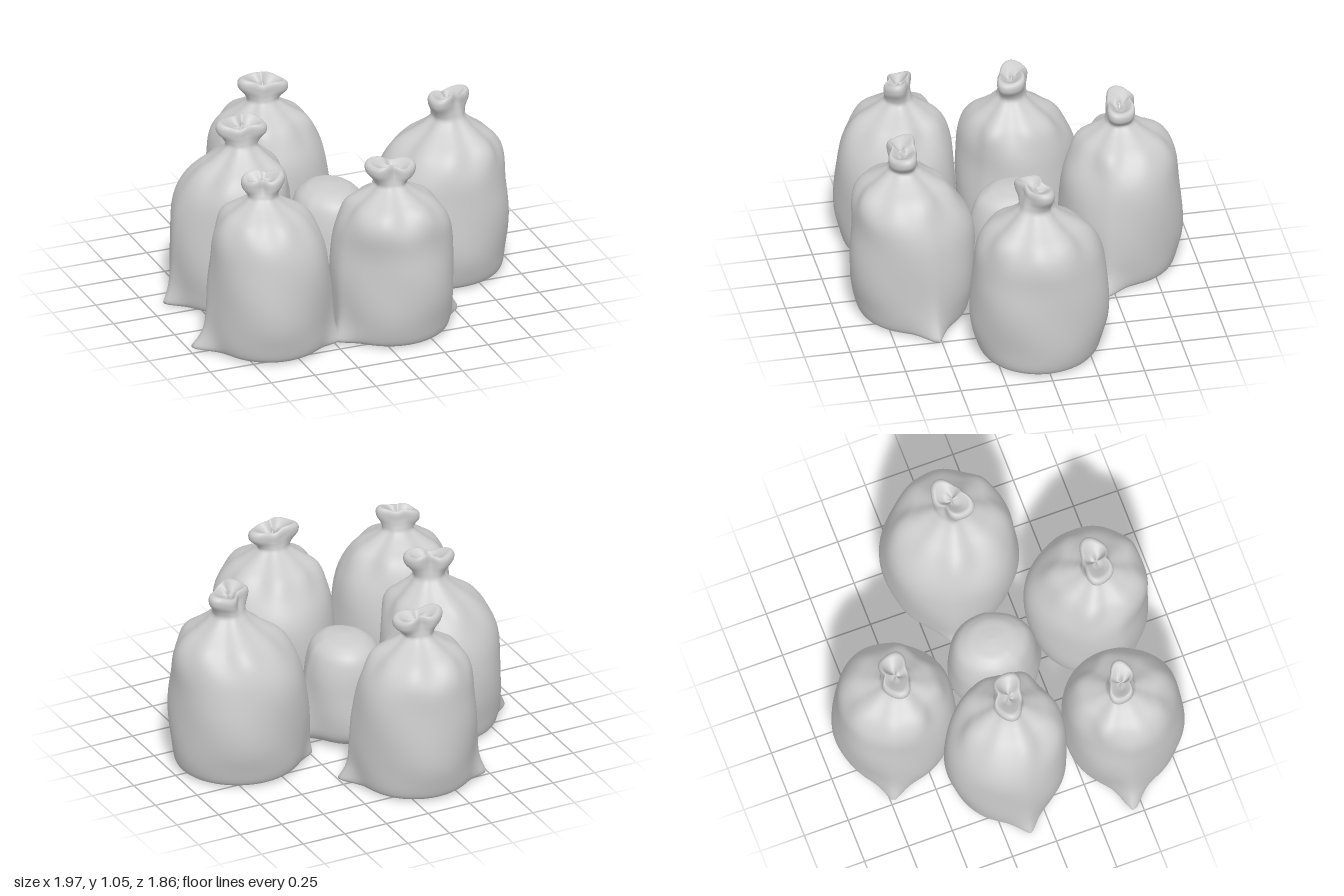
import * as THREE from 'three';

// [radius fraction, height] from the middle of the base up to the inside of the gathered mouth
const TIED = [[0, 0.012], [0.5, 0.008], [0.84, 0.01], [0.92, 0.04], [0.97, 0.14], [1, 0.3], [0.985, 0.45],
  [0.925, 0.6], [0.835, 0.69], [0.69, 0.765], [0.48, 0.815], [0.31, 0.855], [0.25, 0.88], [0.265, 0.905],
  [0.31, 0.94], [0.315, 0.972], [0.27, 0.992], [0.19, 0.98], [0.1, 0.96], [0, 0.955]];
// Slumped sack with a rounded underside and a closed, flattened top
const SLUMPED = [[0, 0.015], [0.45, 0.02], [0.8, 0.05], [0.95, 0.11], [1, 0.2], [0.99, 0.33], [0.96, 0.43],
  [0.85, 0.53], [0.6, 0.59], [0.28, 0.61], [0, 0.617]];

const smooth = THREE.MathUtils.smoothstep;
const material = new THREE.MeshStandardMaterial({ color: 0xcccccc, roughness: 0.9 });

// One sack: a revolved profile with pinched base corners, shoulder pleats, an oval mouth and soft dents
function sack(name, s) {
  const tied = !!s.neck;
  const rows = 76, cols = 112, pos = [], index = [];
  const curve = new THREE.CatmullRomCurve3(
    (tied ? TIED : SLUMPED).map(([r, y]) => new THREE.Vector3(r, y, 0)), false, 'centripetal');
  const earWidth = tied ? 0.2 : 0.35, earHeight = tied ? 0.085 : 0.14;

  for (let i = 0; i <= rows; i++) {
    const p = curve.getPoint(i / rows);
    const y = Math.max(p.y, 0);
    const frac = i === 0 || i === rows ? 0 : Math.max(p.x, 0);
    const mouth = tied ? smooth(y, 0.86, 0.95) : 0;
    const pleat = tied ? Math.exp(-(((y - 0.79) / 0.1) ** 2)) : 0;
    const shoulder = Math.exp(-(((y - 0.7) / 0.1) ** 2));
    const body = smooth(y, 0.02, 0.2) * (1 - smooth(y, 0.7, 0.88));
    const shift = tied ? smooth(y, 0.5, 0.87) : 0;
    const height = y + s.rise * smooth(y, 0.75, 0.95);
    for (let j = 0; j < cols; j++) {
      const a = (j / cols) * Math.PI * 2;
      let k = 1;
      // pointed corners at the base, fading to a faint side seam
      for (const [angle, reach] of s.ears) {
        const d = Math.abs(Math.atan2(Math.sin(a - angle), Math.cos(a - angle)));
        k += (reach / (0.86 * s.r) - 1) * Math.exp(-((d / earWidth) ** 1.4)) * Math.exp(-y / earHeight);
        k += 0.015 * Math.exp(-((d / 0.15) ** 2)) * body;
      }
      // base of a tied sack is slightly narrower across the corners, the slumped one is oval
      if (tied) k -= 0.05 * Math.sin(a - s.ears[0][0]) ** 2 * (1 - smooth(y, 0, 0.25));
      else k -= 0.07 * Math.cos(2 * a);
      // fuller shoulder on the outward side
      k += s.full * shoulder * Math.cos(a - s.out);
      // gathered cloth below the tie
      k += pleat * (0.05 * Math.sin(5 * a + s.seed) + 0.04 * Math.sin(8 * a + 2 * s.seed));
      // broad dents in the filled body
      k += body * (0.015 * Math.sin(3 * a + s.seed + 6 * y) + 0.012 * Math.sin(4 * a - 11 * y + 3 * s.seed));
      // flattened, ruffled mouth
      k *= 1 + mouth * (s.mouth * (1 + 0.33 * Math.cos(2 * (a - s.turn)) + 0.06 * Math.sin(5 * a + s.seed)) - 1);
      const lift = mouth * (0.012 * Math.sin(a + 2 * s.seed) + 0.009 * Math.sin(3 * a + s.seed));
      const r = s.r * frac * k;
      const nx = tied ? (s.neck[0] - s.x) * shift : 0;
      const nz = tied ? (s.neck[1] - s.z) * shift : 0;
      pos.push(s.x + nx + r * Math.cos(a), height + lift, s.z + nz + r * Math.sin(a));
    }
  }
  for (let i = 0; i < rows; i++) {
    for (let j = 0; j < cols; j++) {
      const n = (j + 1) % cols;
      const a = i * cols + j, b = a + cols, c = i * cols + n, d = c + cols;
      if (i > 0) index.push(a, b, c);
      if (i < rows - 1) index.push(b, d, c);
    }
  }
  const geometry = new THREE.BufferGeometry();
  geometry.setAttribute('position', new THREE.Float32BufferAttribute(pos, 3));
  geometry.setIndex(index);
  geometry.computeVertexNormals();
  // even out the normals at the two closed ends
  const normal = geometry.attributes.normal;
  for (let j = 0; j < cols; j++) {
    normal.setXYZ(j, 0, -1, 0);
    normal.setXYZ(rows * cols + j, 0, 1, 0);
  }
  const mesh = new THREE.Mesh(geometry, material);
  mesh.name = name;
  return mesh;
}

export function createModel() {
  const group = new THREE.Group();
  group.name = 'sackPile';
  // ears: [direction, reach] of each base corner; out, full: side and amount of the fuller shoulder;
  // turn, mouth: direction and size of the mouth; rise: extra height of the neck
  const sacks = {
    frontRightSack: { x: -0.57, z: 0.535, r: 0.325, rise: -0.005, neck: [-0.6, 0.515], out: 2.4, full: 0.02, turn: 0.4, mouth: 0.85, seed: 1, ears: [[-2.93, 0.45], [0.34, 0.41]] },
    frontLeftSack: { x: 0.115, z: 0.585, r: 0.335, rise: 0, neck: [0.09, 0.63], out: 1.5, full: 0.06, turn: 0.1, mouth: 0.98, seed: 2.3, ears: [[-0.16, 0.43], [2.9, 0.385]] },
    leftSack: { x: 0.625, z: 0, r: 0.37, rise: 0.045, neck: [0.67, 0.025], out: 0, full: 0.01, turn: -0.5, mouth: 0.85, seed: 3.1, ears: [[-2.83, 0.41]] },
    rightSack: { x: -0.53, z: -0.115, r: 0.33, rise: 0.035, neck: [-0.48, -0.08], out: 2.6, full: 0.03, turn: 0.3, mouth: 0.98, seed: 4.4, ears: [[3.14, 0.4], [0.77, 0.41]] },
    backSack: { x: -0.125, z: -0.6, r: 0.33, rise: 0, neck: [-0.145, -0.6], out: -1.6, full: 0.06, turn: 0.15, mouth: 0.98, seed: 5.2, ears: [[-2.78, 0.4], [0.39, 0.43]] },
    middleSack: { x: -0.01, z: 0, r: 0.225, rise: 0, out: 0, full: 0, turn: 0, mouth: 1, seed: 0.6, ears: [[0.15, 0.32], [2.6, 0.31], [1.5, 0.31]] },
  };
  for (const [name, spec] of Object.entries(sacks)) group.add(sack(name, spec));
  return group;
}
